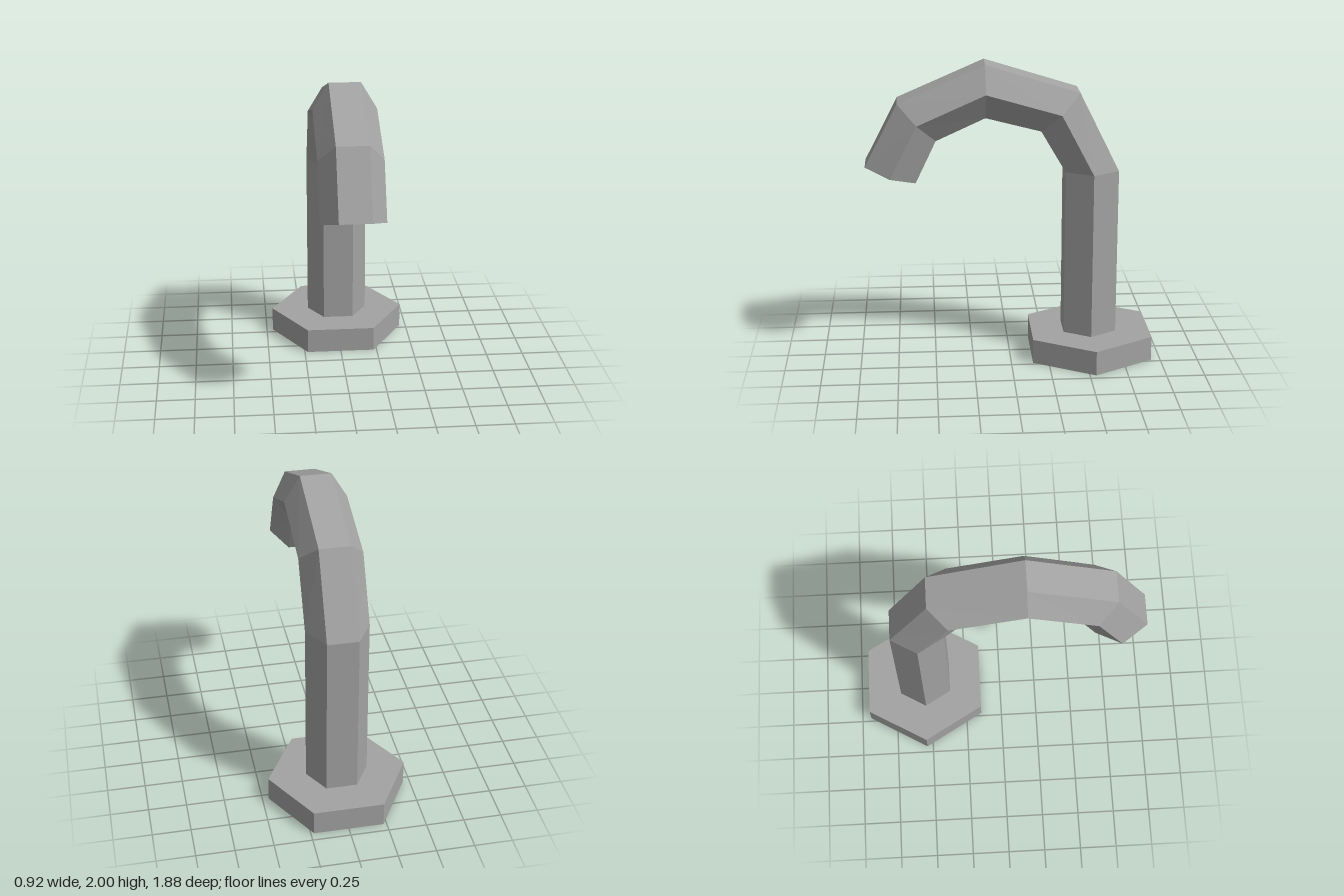
import * as THREE from 'three';

const grey = new THREE.MeshStandardMaterial({ color: 0xa3a3a3, flatShading: true });
grey.name = 'grey metal';

// Hexagonal ring from its [z, y] points on the outer, middle and inner side of the bend
function ring([outer, mid, inner], narrow = 0.102, wide = 0.205) {
  return [[narrow, outer], [wide, mid], [narrow, inner], [-narrow, inner], [-wide, mid], [-narrow, outer]]
    .map(([x, [z, y]]) => new THREE.Vector3(x, y, z));
}

// Joins rings into a faceted skin
function loft(name, rings) {
  const points = [];
  for (let i = 0; i < rings.length - 1; i++) {
    const a = rings[i], b = rings[i + 1];
    for (let j = 0; j < 6; j++) {
      const k = (j + 1) % 6;
      points.push(a[k], a[j], b[j], a[k], b[j], b[k]);
    }
  }
  const geometry = new THREE.BufferGeometry().setFromPoints(points);
  geometry.computeVertexNormals();
  const mesh = new THREE.Mesh(geometry, grey);
  mesh.name = name;
  return mesh;
}

export function createModel() {
  const group = new THREE.Group();
  group.name = 'tap';

  // Hexagonal foot with corners to the left and right
  const base = new THREE.Mesh(new THREE.CylinderGeometry(0.458, 0.458, 0.165, 6).rotateY(Math.PI / 6), grey);
  base.name = 'base';
  base.position.set(0, 0.0825, -0.541);
  group.add(base);

  // Upright pipe and curved spout
  const foot = ring([[-0.71, 0.16], [-0.535, 0.16], [-0.36, 0.16]]);
  const bend = ring([[-0.71, 1.285], [-0.535, 1.285], [-0.36, 1.285]]);
  const mouth = ring([[0.94, 1.34], [0.777, 1.284], [0.614, 1.228]]);
  group.add(loft('pipe', [foot, bend]));
  group.add(loft('spout', [
    bend,
    ring([[-0.45, 1.81], [-0.325, 1.685], [-0.2, 1.56]]),
    ring([[0.16, 2], [0.16, 1.827], [0.16, 1.654]]),
    ring([[0.725, 1.755], [0.603, 1.631], [0.48, 1.508]]),
    mouth,
  ]));

  // Rim, then a hollow running back up the spout to a closed end
  const centre = new THREE.Vector3(0, 1.284, 0.777);
  const depth = new THREE.Vector3(0, 0.18, -0.09);
  const lip = mouth.map((p) => p.clone().lerp(centre, 0.33));
  const floor = lip.map((p) => p.clone().add(depth));
  const end = floor.map(() => centre.clone().add(depth));
  group.add(loft('rim', [mouth, lip]));
  group.add(loft('hollow', [lip, floor, end]));

  return group;
}
